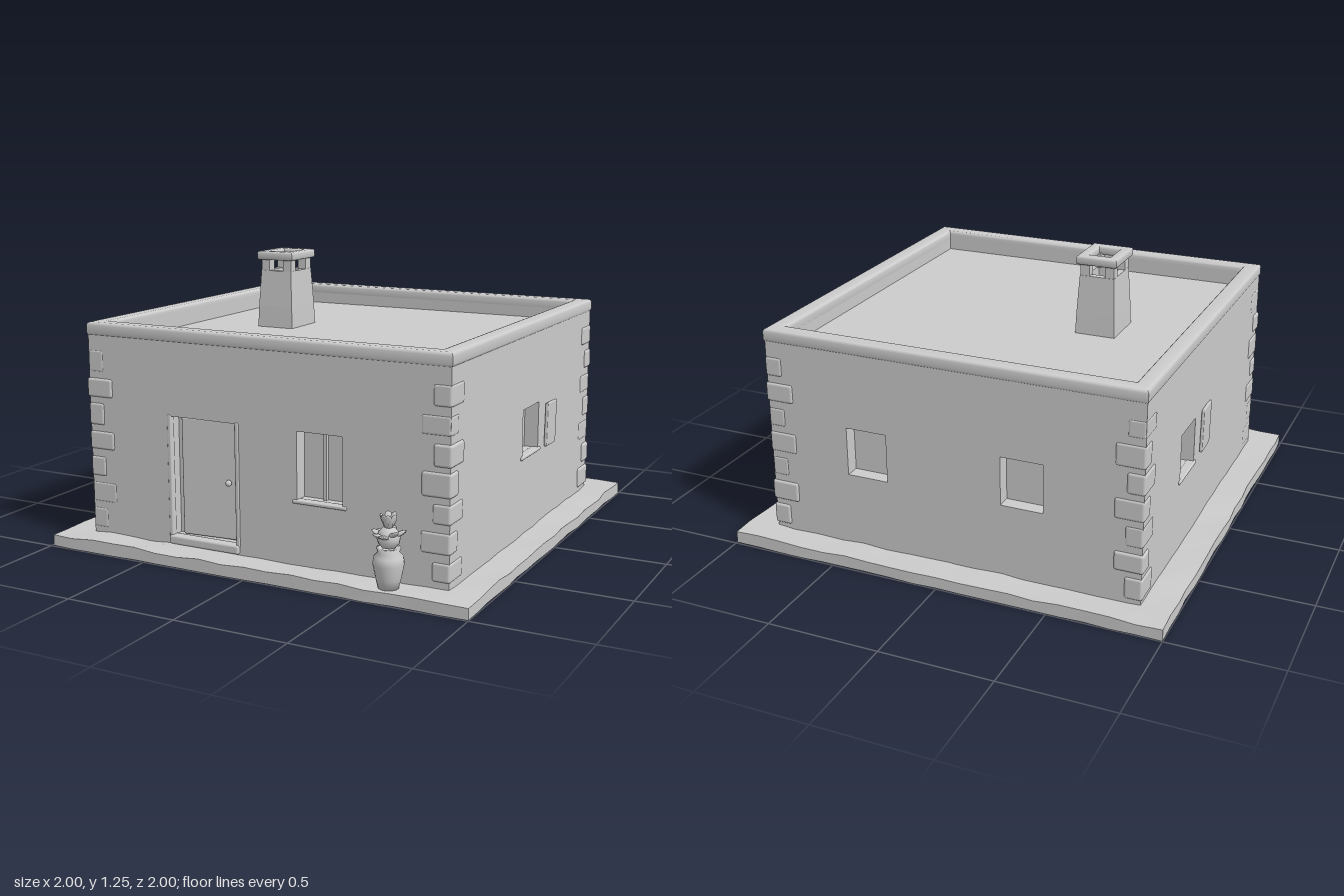
import * as THREE from 'three';
import { RoundedBoxGeometry } from 'three/addons/geometries/RoundedBoxGeometry.js';
import { toCreasedNormals } from 'three/addons/utils/BufferGeometryUtils.js';

const mat = new THREE.MeshStandardMaterial({ color: 0xcccccc });
const thin = new THREE.MeshStandardMaterial({ color: 0xcccccc, side: THREE.DoubleSide });

// Repeatable noise in -1..1 from a position, so shared corners stay joined
function noise(x, y, z, k = 0) {
  const s = Math.sin(x * 127.1 + y * 311.7 + z * 74.7 + k * 53.3) * 43758.5453;
  return (s - Math.floor(s)) * 2 - 1;
}

function add(parent, name, geo, x = 0, y = 0, z = 0, material = mat) {
  const m = new THREE.Mesh(geo, material);
  m.name = name;
  m.position.set(x, y, z);
  parent.add(m);
  return m;
}

function rectPath(P, x0, y0, x1, y1) {
  const p = new P();
  p.moveTo(x0, y0).lineTo(x1, y0).lineTo(x1, y1).lineTo(x0, y1).closePath();
  return p;
}

// Square ring lying flat, with softened edges
function ring(ox, oz, ix, iz, h, b) {
  const s = rectPath(THREE.Shape, -ox + b, -oz + b, ox - b, oz - b);
  s.holes.push(rectPath(THREE.Path, -ix - b, -iz - b, ix + b, iz + b));
  const g = new THREE.ExtrudeGeometry(s, {
    depth: h - 2 * b, bevelEnabled: true, bevelSize: b, bevelThickness: b, bevelSegments: 3,
  });
  g.rotateX(-Math.PI / 2).translate(0, b, 0);
  return toCreasedNormals(g, 0.7);
}

// Four-sided tapering tube from cross-sections [halfX, halfZ, y]
function squareTube(sections) {
  const pos = [];
  const corners = ([x, z, y]) => [[-x, y, z], [x, y, z], [x, y, -z], [-x, y, -z]];
  for (let i = 0; i + 1 < sections.length; i++) {
    const a = corners(sections[i]), b = corners(sections[i + 1]);
    for (let k = 0; k < 4; k++) {
      const n = (k + 1) % 4;
      pos.push(...a[k], ...a[n], ...b[n], ...a[k], ...b[n], ...b[k]);
    }
  }
  const g = new THREE.BufferGeometry();
  g.setAttribute('position', new THREE.Float32BufferAttribute(pos, 3));
  g.computeVertexNormals();
  return g;
}

const W = 0.86, T = 0.07, TOP = 0.97;

// One wall facing +z, with recessed openings [x0, y0, x1, y1], turned into place
function wall(name, turn, openings) {
  const g = new THREE.Group();
  g.name = name;
  g.rotation.y = turn;
  const s = rectPath(THREE.Shape, -W, 0.04, W, TOP);
  openings.forEach((o) => s.holes.push(rectPath(THREE.Path, ...o)));
  add(g, 'wallPanel', new THREE.ExtrudeGeometry(s, { depth: T, bevelEnabled: false }), 0, 0, W - T);
  openings.forEach(([x0, y0, x1, y1]) => {
    add(g, 'recessPanel', new THREE.BoxGeometry(x1 - x0 + 0.02, y1 - y0 + 0.02, 0.02),
      (x0 + x1) / 2, (y0 + y1) / 2, W - T - 0.005);
  });
  return g;
}

// Window bars and sill for a wall opening
function dressWindow(g, [x0, y0, x1, y1]) {
  const cx = (x0 + x1) / 2;
  add(g, 'windowBar', new THREE.BoxGeometry(0.014, y1 - y0, 0.02), cx, (y0 + y1) / 2, W - T + 0.012);
  add(g, 'windowSill', new RoundedBoxGeometry(x1 - x0 + 0.04, 0.016, 0.04, 2, 0.006), cx, y0 - 0.006, W - 0.012);
}

function shutter(g, x, y) {
  const m = add(g, 'shutter', new RoundedBoxGeometry(0.15, 0.2, 0.014, 2, 0.005), x, y, W + 0.006);
  m.rotation.set(0, 0.06, -0.06);
}

export function createModel() {
  const house = new THREE.Group();
  house.name = 'house';

  // Uneven base slab
  const slab = new THREE.BoxGeometry(1.99, 0.052, 1.99, 18, 1, 18);
  const p = slab.attributes.position;
  for (let i = 0; i < p.count; i++) {
    const x = p.getX(i), y = p.getY(i), z = p.getZ(i);
    if (y > 0) p.setY(i, y + 0.006 * noise(x, y, z));
    if (Math.abs(x) > 0.99) p.setX(i, x + 0.005 * noise(x, 0, z, 1));
    if (Math.abs(z) > 0.99) p.setZ(i, z + 0.005 * noise(x, 0, z, 2));
  }
  slab.computeVertexNormals();
  add(house, 'baseSlab', slab, 0, 0.026, 0);

  // Walls: local x runs to the right when facing each wall
  const frontWindow = [0.18, 0.33, 0.39, 0.62];
  const door = [-0.44, 0.09, -0.11, 0.62];
  const front = wall('frontWall', 0, [door, frontWindow]);
  dressWindow(front, frontWindow);
  add(front, 'doorLeaf', new RoundedBoxGeometry(0.27, 0.52, 0.03, 2, 0.008), -0.27, 0.355, W - 0.055).rotation.y = 0.08;
  add(front, 'doorKnob', new THREE.SphereGeometry(0.014, 10, 8), -0.17, 0.35, W - 0.03);
  add(front, 'doorStep', new RoundedBoxGeometry(0.35, 0.04, 0.05, 2, 0.01), -0.275, 0.075, W - 0.01);
  for (const x of [-0.445, -0.107])
    add(front, 'doorPost', new RoundedBoxGeometry(0.02, 0.54, 0.03, 2, 0.006), x, 0.355, W - 0.01);

  const sideWindow = [-0.06, 0.41, 0.14, 0.62];
  const right = wall('sideWall', Math.PI / 2, [sideWindow]);
  dressWindow(right, sideWindow);
  shutter(right, 0.29, 0.495);

  const farWindow = [-0.37, 0.39, -0.17, 0.6];
  const left = wall('oppositeSideWall', -Math.PI / 2, [farWindow]);
  dressWindow(left, farWindow);
  shutter(left, -0.02, 0.5);

  const back = wall('backWall', Math.PI, [[-0.48, 0.38, -0.29, 0.6], [0.24, 0.38, 0.43, 0.6]]);
  house.add(front, right, left, back);

  // Parapet rim and sunken roof
  add(house, 'parapetRim', ring(W + 0.004, W + 0.004, W - T, W - T, 0.06, 0.014), 0, 0.938, 0);
  add(house, 'roof', new THREE.BoxGeometry(1.6, 0.04, 1.6), 0, 0.88, 0);

  // Rough corner stones, long and short by turns
  for (const sx of [-1, 1]) for (const sz of [-1, 1]) for (let i = 0; i < 7; i++) {
    const long = 0.13, short = 0.08, y = 0.12 + i * 0.118;
    const w = i % 2 ? long : short, d = i % 2 ? short : long;
    const out = 0.006 + 0.004 * noise(sx, i, sz);
    const h = 0.09 + 0.012 * noise(sx, i, sz, 3);
    add(house, 'cornerStone', new RoundedBoxGeometry(w, h, d, 2, 0.012),
      sx * (W + out - w / 2), y, sz * (W + out - d / 2));
  }

  // Chimney: tapered hollow shaft, four posts and an open cap
  const chimney = new THREE.Group();
  chimney.name = 'chimney';
  chimney.position.set(-0.375, 0, -0.03);
  add(chimney, 'chimneyShaft', squareTube([
    [0.092, 0.112, 0.89], [0.088, 0.107, 1.0], [0.079, 0.096, 1.165], [0.05, 0.065, 1.165], [0.05, 0.065, 1.0], [0.001, 0.001, 1.0],
  ]), 0, 0, 0, thin);
  for (const sx of [-1, 1]) for (const sz of [-1, 1])
    add(chimney, 'chimneyPost', new THREE.BoxGeometry(0.042, 0.065, 0.046), sx * 0.057, 1.192, sz * 0.071);
  add(chimney, 'chimneyCap', ring(0.093, 0.11, 0.048, 0.065, 0.04, 0.01), 0, 1.215, 0);
  house.add(chimney);

  // Potted plant by the front corner
  const plant = new THREE.Group();
  plant.name = 'pottedPlant';
  plant.position.set(0.63, 0.05, 0.927);
  const profile = [[0, 0], [0.042, 0], [0.052, 0.04], [0.064, 0.1], [0.06, 0.13], [0.043, 0.148], [0.05, 0.165], [0.036, 0.165], [0, 0.15]];
  add(plant, 'pot', new THREE.LatheGeometry(profile.map(([r, y]) => new THREE.Vector2(r, y)), 18), 0, 0, 0, thin);
  add(plant, 'foliage', new THREE.IcosahedronGeometry(0.048, 1), 0, 0.205, 0);
  for (let i = 0; i < 14; i++) {
    const leaf = new THREE.SphereGeometry(0.03, 7, 5);
    leaf.scale(0.7, 1.3, 0.3).translate(0, 0.04, 0);
    const upper = i >= 8;
    const m = add(plant, 'leaf', leaf, 0, upper ? 0.235 : 0.2, 0);
    m.rotation.set(upper ? 0.45 : 1.1 + 0.2 * noise(i, 1, 2), i * 2.4, 0, 'YXZ');
  }
  house.add(plant);

  return house;
}
